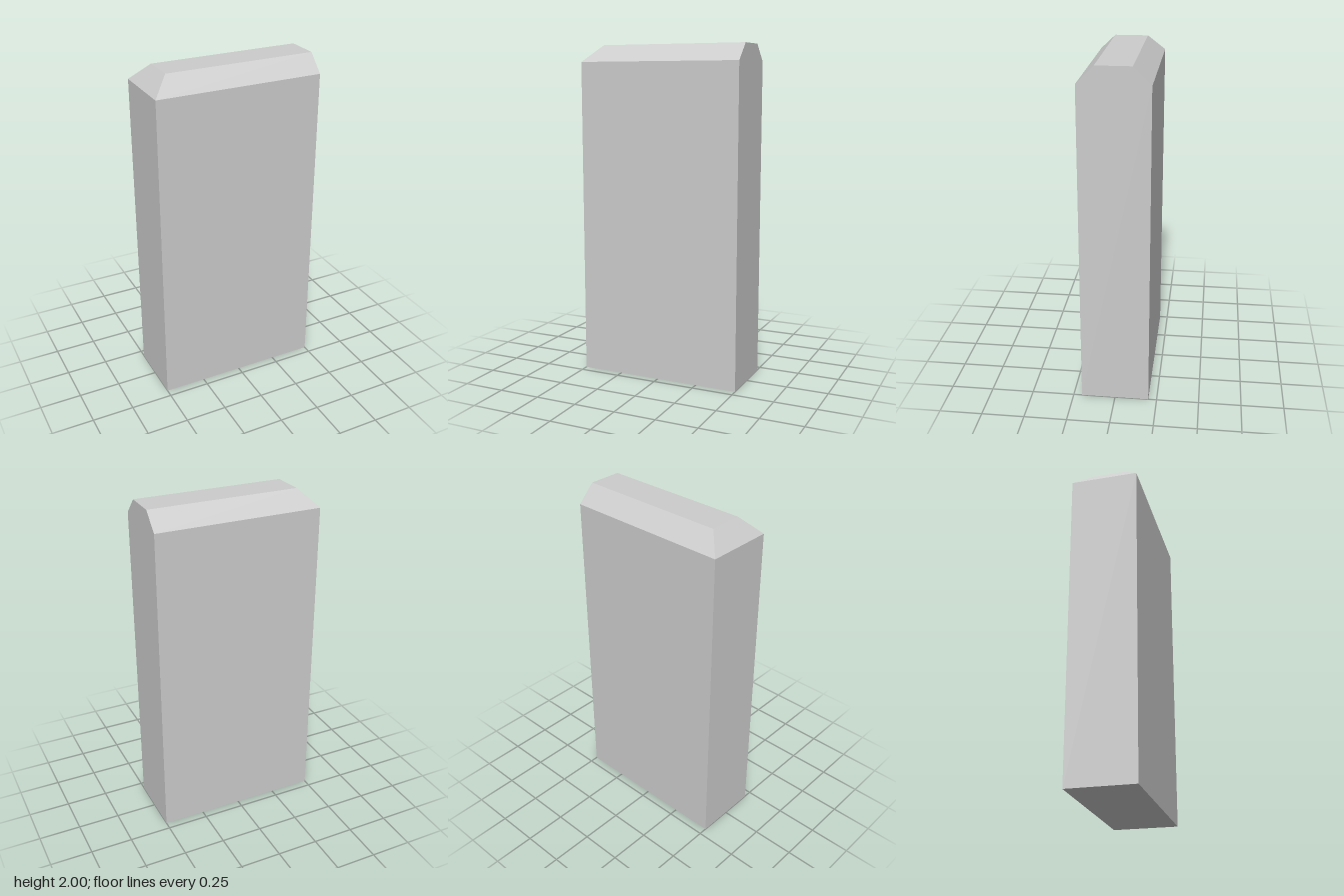
import * as THREE from 'three';

const WIDTH = 1, HEIGHT = 2, DEPTH = 0.4, BEVEL = 0.1;

export function createModel() {
  const group = new THREE.Group();
  group.name = 'bevelledSlab';

  // Box with one extra row of vertices, which becomes the lower edge of the bevel
  const box = new THREE.BoxGeometry(WIDTH, HEIGHT, DEPTH, 1, 2, 1);
  box.translate(0, HEIGHT / 2, 0);
  const pos = box.attributes.position;
  for (let i = 0; i < pos.count; i++) {
    const x = pos.getX(i), y = pos.getY(i), z = pos.getZ(i);
    if (y > HEIGHT - 0.01) {
      // Top edge: inset at front, back and the -x end; the +x end stays upright
      pos.setX(i, x < 0 ? x + BEVEL : x);
      pos.setZ(i, z - Math.sign(z) * BEVEL);
    } else if (y > 0.01) {
      pos.setY(i, HEIGHT - BEVEL);
    }
  }

  // Separate the faces so every edge is sharp
  const geometry = box.toNonIndexed();
  geometry.computeVertexNormals();

  const slab = new THREE.Mesh(
    geometry,
    new THREE.MeshStandardMaterial({ color: 0xcccccc, flatShading: true })
  );
  slab.name = 'slab';
  group.add(slab);
  return group;
}
